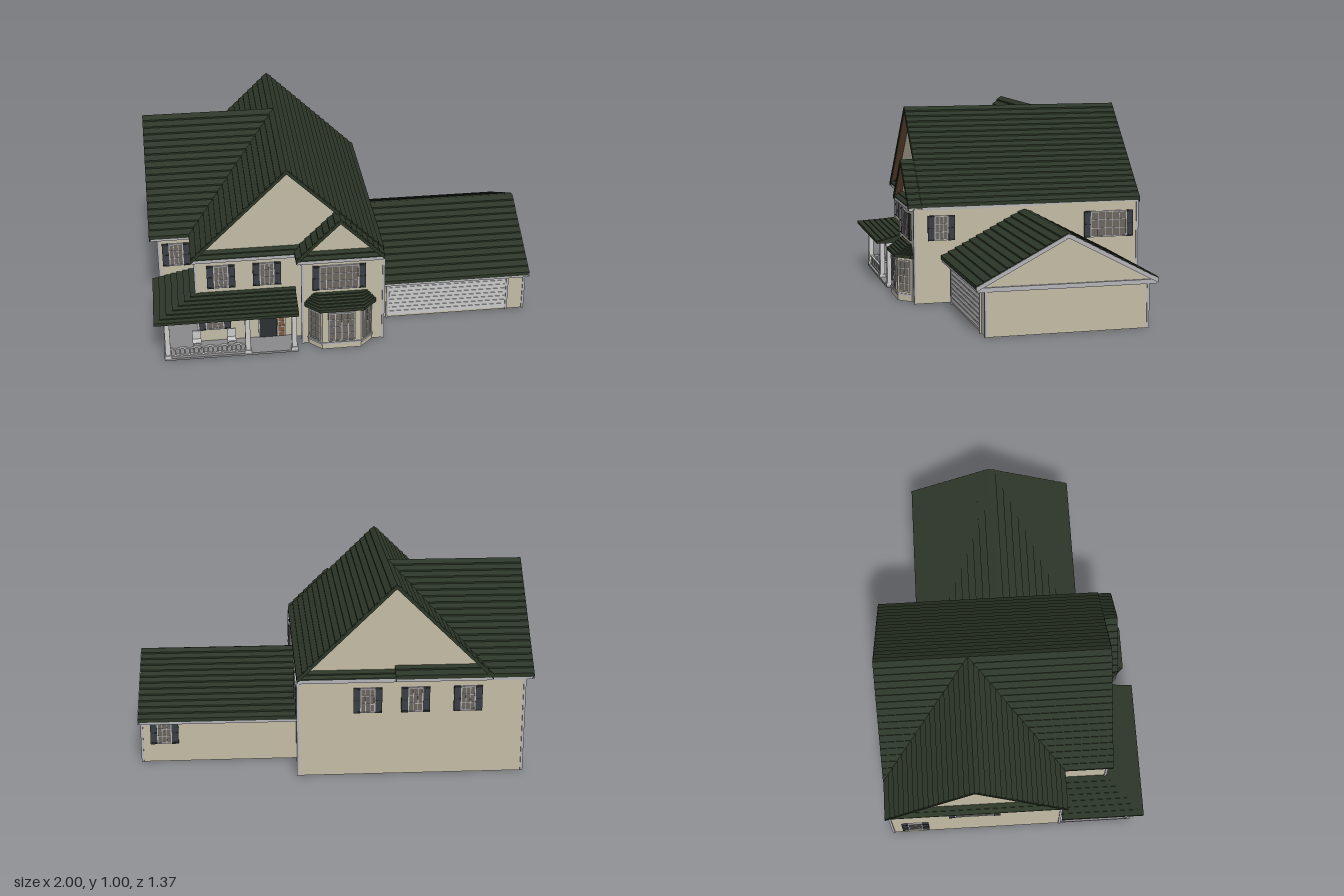
import * as THREE from 'three';

const mat = (color) => new THREE.MeshStandardMaterial({ color, flatShading: true, side: THREE.DoubleSide });
const WALL = mat(0xc3bca6), TRIM = mat(0xb4b4ba), ROOF = mat(0x2c3627), SOFFIT = mat(0x7a5a40);
const GLASS = mat(0x6b665e), SHUTTER = mat(0x3a3d42), WHITE = mat(0xcccccc), DOOR = mat(0x2d3033), WOOD = mat(0x80593c);

function add(parent, name, geo, material, x = 0, y = 0, z = 0, ry = 0) {
  const m = new THREE.Mesh(geo, material);
  m.name = name;
  m.position.set(x, y, z);
  m.rotation.y = ry;
  parent.add(m);
  return m;
}
const box = (parent, name, w, h, d, material, x, y, z, ry) =>
  add(parent, name, new THREE.BoxGeometry(w, h, d), material, x, y, z, ry);

function sub(parent, name, x = 0, y = 0, z = 0, ry = 0) {
  const g = new THREE.Group();
  g.name = name;
  g.position.set(x, y, z);
  g.rotation.y = ry;
  parent.add(g);
  return g;
}

// Profile in x/y, extruded along z
function extrudeZ(pts, z0, z1) {
  const shape = new THREE.Shape(pts.map((p) => new THREE.Vector2(p[0], p[1])));
  return new THREE.ExtrudeGeometry(shape, { depth: z1 - z0, bevelEnabled: false }).translate(0, 0, z0);
}
// Footprint of [x, z] points, raised from y0 to y1
function prism(pts, y0, y1) {
  return extrudeZ(pts.map(([x, z]) => [x, -z]), y0, y1).rotateX(-Math.PI / 2);
}

// Overlapping shingle courses rising from an outer path to an inner path
function skirt(outer, inner, y0, y1, n, lip = 0.006) {
  const pos = [];
  const at = (i, t, up) => {
    const [a, b] = [outer[i], inner[i]];
    return [a[0] + (b[0] - a[0]) * t, y0 + (y1 - y0) * t + up, a[1] + (b[1] - a[1]) * t];
  };
  const quad = (a, b, c, d) => pos.push(...a, ...b, ...c, ...a, ...c, ...d);
  for (let i = 0; i < outer.length - 1; i++) {
    for (let k = 0; k < n; k++) {
      const t0 = k / n, t1 = (k + 1) / n;
      quad(at(i, t0, 0), at(i + 1, t0, 0), at(i + 1, t0, lip), at(i, t0, lip));
      quad(at(i, t0, lip), at(i + 1, t0, lip), at(i + 1, t1, 0), at(i, t1, 0));
    }
  }
  const g = new THREE.BufferGeometry();
  g.setAttribute('position', new THREE.Float32BufferAttribute(pos, 3));
  g.computeVertexNormals();
  return g;
}

// Chevron with stepped courses on top, symmetric about x = 0
function chevron(half, y0, y1, thick, n, lip) {
  const side = [];
  for (let k = 0; k < n; k++) {
    for (const [t, up] of [[k / n, lip], [(k + 1) / n, 0]]) side.push([half * (1 - t), y0 + (y1 - y0) * t + up]);
  }
  const mirrored = side.slice(0, -1).reverse().map(([x, y]) => [-x, y]);
  return [...side, ...mirrored, [-half, y0 - thick], [0, y1 - thick], [half, y0 - thick]];
}

// Gable roof along z; inset = [back, front] recess of the gable walls, pent = [back, front] flags
function gableRoof(parent, name, { half, y0, y1, from, to, n, inset, pent, x = 0, z = 0, ry = 0, rake = ROOF }) {
  const g = sub(parent, name, x, 0, z, ry);
  add(g, 'shingles', extrudeZ(chevron(half, y0, y1, 0.012, n, 0.008), from, to), ROOF);
  add(g, 'soffit', extrudeZ(chevron(half - 0.01, y0 - 0.004, y1 - 0.013, 0.008, 1, 0), from + 0.004, to - 0.004), SOFFIT);
  add(g, 'gableWall', extrudeZ([[-half + 0.015, y0 - 0.01], [half - 0.015, y0 - 0.01], [0, y1 - 0.018]],
    from + inset[0], to - inset[1]), WALL);
  box(g, 'eaveBoard', half * 2 - 0.012, 0.022, to - from - 0.008, TRIM, 0, y0 - 0.016, (from + to) / 2);
  [[from, 1, 0], [to, -1, 1]].forEach(([end, dir, i]) => {
    add(g, 'rakeTrim', extrudeZ(chevron(half, y0, y1, 0.022, 1, 0), end - 0.003, end + 0.003), rake);
    if (!pent[i]) return;
    const zi = end + dir * inset[i];
    add(g, 'pentRoof', skirt([[-half, end], [half, end]], [[-half + 0.03, zi], [half - 0.03, zi]], y0 - 0.008, y0 + 0.028, 2), ROOF);
  });
  return g;
}

// Window facing +z, with muntins and optional shutters
function windowUnit(parent, x, y, z, ry, w, h, cols, rows = 3, shutter = 0.034) {
  const g = sub(parent, 'window', x, y, z, ry);
  box(g, 'pane', w, h, 0.006, GLASS, 0, 0, 0);
  for (let i = 0; i <= cols; i++) box(g, 'muntin', i % cols ? 0.003 : 0.006, h, 0.012, TRIM, -w / 2 + (w * i) / cols, 0, 0);
  for (let j = 0; j <= rows; j++) box(g, 'muntin', w, j % rows ? 0.003 : 0.006, 0.012, TRIM, 0, -h / 2 + (h * j) / rows, 0);
  if (!shutter) return;
  for (const s of [-1, 1]) {
    box(g, 'shutter', shutter, h + 0.008, 0.01, SHUTTER, s * (w / 2 + shutter / 2 + 0.003), 0, 0.002);
    for (const v of [-1, 0, 1]) box(g, 'shutterRail', shutter, 0.005, 0.014, DOOR, s * (w / 2 + shutter / 2 + 0.003), v * h * 0.48, 0.002);
  }
}

function railing(parent, x0, z0, x1, z1) {
  const len = Math.hypot(x1 - x0, z1 - z0);
  const g = sub(parent, 'railing', (x0 + x1) / 2, 0.012, (z0 + z1) / 2, Math.atan2(z0 - z1, x1 - x0));
  for (const y of [0.008, 0.05]) box(g, 'rail', len, 0.007, 0.012, WHITE, 0, y, 0);
  const n = Math.round(len / 0.024);
  for (let i = 0; i <= n; i++) {
    add(g, 'baluster', new THREE.CylinderGeometry(0.004, 0.005, 0.044, 6), WHITE, -len / 2 + (len * i) / n, 0.028, 0);
  }
}

export function createModel() {
  const house = new THREE.Group();
  house.name = 'house';
  const P = Math.PI;

  // Walls
  add(house, 'mainWalls', prism([[-0.95, -0.67], [0.19, -0.67], [0.19, 0.555], [-0.23, 0.555], [-0.23, 0.49],
    [-0.77, 0.49], [-0.77, 0.24], [-0.95, 0.24]], 0, 0.505), WALL);
  add(house, 'garageWalls', prism([[0.18, -0.443], [0.988, -0.443], [0.988, 0.367], [0.18, 0.367]], 0, 0.24), WALL);
  for (const [x, z] of [[-0.95, -0.67], [0.19, -0.67], [0.19, 0.555], [-0.23, 0.555], [-0.77, 0.49], [-0.95, 0.24]]) {
    box(house, 'cornerTrim', 0.012, 0.5, 0.012, TRIM, x, 0.25, z);
  }
  for (const z of [-0.443, 0.367]) box(house, 'cornerTrim', 0.012, 0.24, 0.012, TRIM, 0.986, 0.12, z);

  // Roofs
  gableRoof(house, 'mainRoof', { half: 0.493, y0: 0.522, y1: 1, from: -0.682, to: 0.515, n: 18,
    inset: [0.045, 0.04], pent: [1, 1], x: -0.297 });
  gableRoof(house, 'wingRoof', { half: 0.474, y0: 0.522, y1: 1, from: -0.992, to: -0.3, n: 18,
    inset: [0.045, 0.01], pent: [1, 0], z: -0.208, ry: P / 2 });
  gableRoof(house, 'frontGableRoof', { half: 0.227, y0: 0.519, y1: 0.74, from: 0.47, to: 0.585, n: 8,
    inset: [0.01, 0.04], pent: [0, 1], x: -0.037 });
  gableRoof(house, 'garageRoof', { half: 0.453, y0: 0.246, y1: 0.483, from: 0.185, to: 1, n: 12,
    inset: [0.01, 0.014], pent: [0, 0], z: -0.037, ry: P / 2, rake: TRIM });

  // Upper windows: front, back, right and left sides
  for (const [x, z] of [[-0.86, 0.242], [-0.64, 0.492], [-0.405, 0.492]]) windowUnit(house, x, 0.4, z, 0, 0.07, 0.125, 3);
  windowUnit(house, -0.04, 0.393, 0.557, 0, 0.2, 0.135, 6);
  for (const x of [-0.16, -0.4, -0.665]) windowUnit(house, x, 0.4, -0.672, P, 0.07, 0.125, 3);
  windowUnit(house, 0.192, 0.4, 0.413, P / 2, 0.07, 0.125, 3);
  windowUnit(house, 0.192, 0.386, -0.507, P / 2, 0.2, 0.135, 5);
  windowUnit(house, -0.952, 0.386, -0.22, -P / 2, 0.2, 0.135, 5);

  // Lower windows
  windowUnit(house, -0.952, 0.135, -0.545, -P / 2, 0.07, 0.125, 3);
  windowUnit(house, -0.682, 0.148, 0.492, 0, 0.09, 0.125, 3);
  windowUnit(house, 0.87, 0.16, -0.445, P, 0.07, 0.115, 3);

  // Front door with sidelight and transom
  const entry = sub(house, 'entry', -0.405, 0, 0.492);
  box(entry, 'door', 0.09, 0.17, 0.012, DOOR, 0, 0.1, 0);
  box(entry, 'sidelight', 0.03, 0.17, 0.01, WOOD, 0.068, 0.1, 0);
  box(entry, 'transom', 0.13, 0.02, 0.01, WOOD, 0.02, 0.203, 0);
  for (const x of [-0.048, 0.05, 0.086]) box(entry, 'doorJamb', 0.006, 0.2, 0.016, TRIM, x, 0.115, 0);
  for (let i = 0; i < 5; i++) box(entry, 'sidelightBar', 0.03, 0.004, 0.014, TRIM, 0.068, 0.04 + i * 0.033, 0);

  // Wraparound porch
  const porch = sub(house, 'porch');
  const L = [[-0.95, 0.24], [-0.95, 0.63], [-0.262, 0.63], [-0.262, 0.48], [-0.77, 0.48], [-0.77, 0.24]];
  add(porch, 'porchFloor', prism(L, 0, 0.012), mat(0x8a8a8c));
  const outer = [[-0.992, 0.245], [-0.992, 0.682], [-0.262, 0.682]];
  const inner = [[-0.77, 0.245], [-0.77, 0.49], [-0.262, 0.49]];
  add(porch, 'porchCeiling', prism([...outer, ...[...inner].reverse()], 0.25, 0.262), ROOF);
  add(porch, 'porchRoof', skirt(outer, inner, 0.26, 0.31, 7), ROOF);
  add(porch, 'porchRoofEnd', new THREE.ExtrudeGeometry(new THREE.Shape([new THREE.Vector2(-0.682, 0.26),
    new THREE.Vector2(-0.49, 0.26), new THREE.Vector2(-0.49, 0.31)]), { depth: 0.005, bevelEnabled: false }),
    ROOF, -0.265, 0, 0, P / 2);
  for (const [x, z] of [[-0.93, 0.612], [-0.52, 0.612], [-0.28, 0.612], [-0.93, 0.26]]) {
    box(porch, 'column', 0.026, 0.24, 0.026, WHITE, x, 0.13, z);
    for (const y of [0.02, 0.24]) box(porch, 'columnCap', 0.036, 0.016, 0.036, WHITE, x, y, z);
  }
  railing(porch, -0.917, 0.612, -0.533, 0.612);
  railing(porch, -0.93, 0.275, -0.93, 0.6);
  for (const x of [-0.78, -0.6]) {
    const chair = sub(porch, 'porchChair', x, 0.012, 0.54);
    box(chair, 'seat', 0.045, 0.006, 0.045, WHITE, 0, 0.035, 0);
    box(chair, 'chairBack', 0.045, 0.05, 0.006, WHITE, 0, 0.062, -0.02);
    for (const sx of [-1, 1]) for (const sz of [-1, 1]) box(chair, 'leg', 0.006, 0.035, 0.006, WHITE, sx * 0.019, 0.017, sz * 0.019);
  }

  // Bay window
  const bay = sub(house, 'bayWindow', -0.035, 0, 0);
  const bayPlan = (a, b, z0, z1) => [[-a, 0.55], [-a, z0], [-b, z1], [b, z1], [a, z0], [a, 0.55]];
  add(bay, 'bayWalls', prism(bayPlan(0.165, 0.1, 0.56, 0.625), 0, 0.245), WALL);
  add(bay, 'baySill', prism(bayPlan(0.17, 0.103, 0.562, 0.629), 0.03, 0.04), TRIM);
  add(bay, 'bayEave', prism(bayPlan(0.185, 0.115, 0.57, 0.644), 0.235, 0.248), ROOF);
  add(bay, 'bayRoof', skirt(bayPlan(0.185, 0.115, 0.57, 0.644), bayPlan(0.135, 0.11, 0.552, 0.558), 0.246, 0.305, 6), ROOF);
  windowUnit(bay, 0, 0.135, 0.626, 0, 0.135, 0.165, 4, 4, 0);
  for (const s of [-1, 1]) windowUnit(bay, s * 0.133, 0.135, 0.593, s * P / 4, 0.062, 0.165, 2, 4, 0);

  // Garage door
  const gd = sub(house, 'garageDoor', 0.568, 0, 0.368);
  box(gd, 'doorPanel', 0.64, 0.2, 0.008, WHITE, 0, 0.112, 0);
  for (let i = 0; i < 8; i++) box(gd, 'doorSlat', 0.63, 0.019, 0.014, WHITE, 0, 0.03 + i * 0.0245, 0);
  for (const s of [-1, 1]) box(gd, 'doorJamb', 0.012, 0.22, 0.018, TRIM, s * 0.326, 0.11, 0);
  box(gd, 'doorLintel', 0.66, 0.01, 0.018, TRIM, 0, 0.219, 0);

  return house;
}
